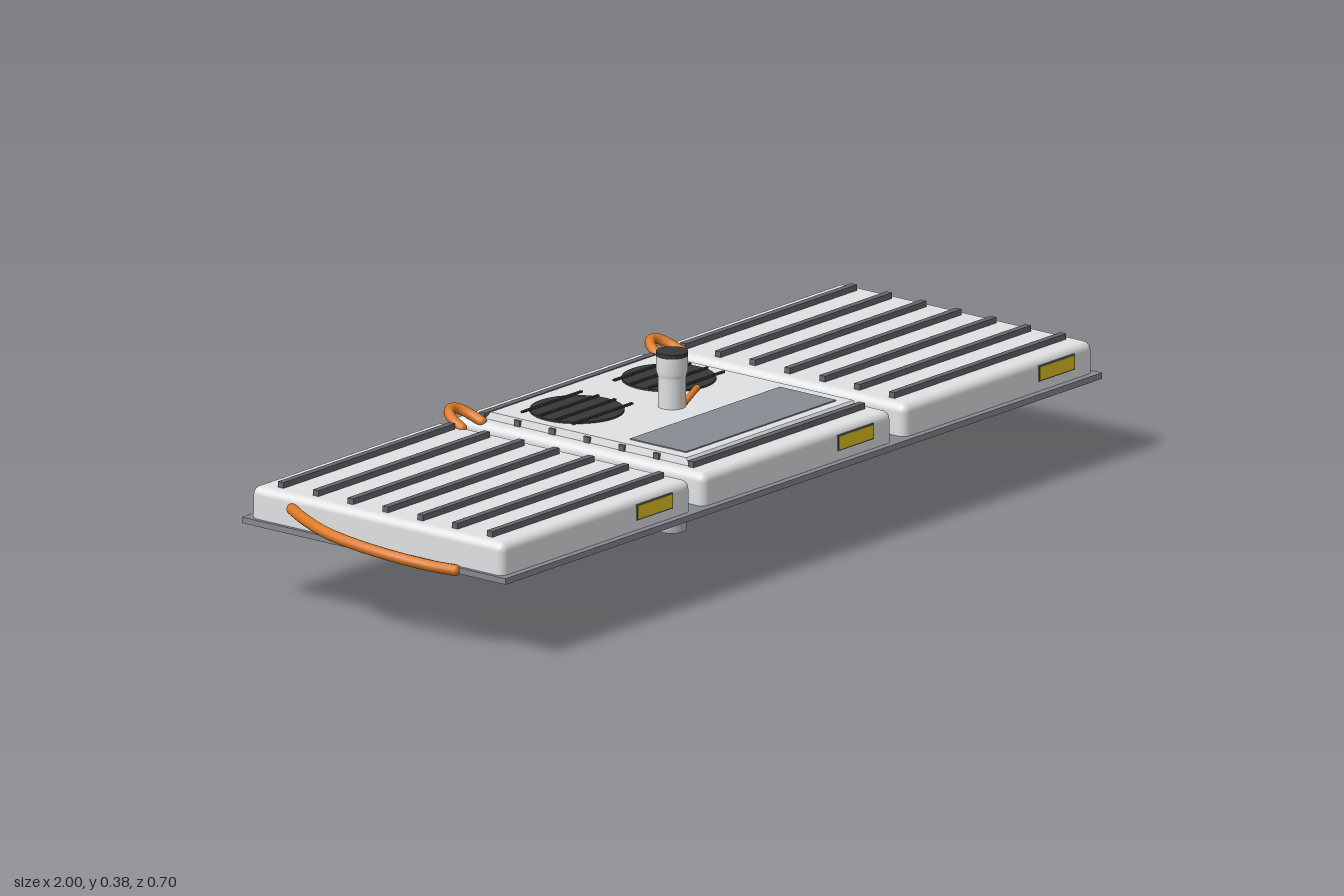
import * as THREE from 'three';
import { RoundedBoxGeometry } from 'three/addons/geometries/RoundedBoxGeometry.js';

const mat = (name, color) => Object.assign(new THREE.MeshStandardMaterial({ color }), { name });

export function createModel() {
  const model = new THREE.Group();
  model.name = 'threePanelUnit';
  const shell = mat('light grey shell', 0xdfe1e2);
  const pipeGrey = mat('pipe grey', 0xb0b3b6);
  const plateGrey = mat('base grey', 0x86898f);
  const slatGrey = mat('slat grey', 0x64676c);
  const glass = mat('grey window', 0x878b93);
  const dark = mat('dark grey', 0x363738);
  const orange = mat('orange', 0xdb7820);
  const yellow = mat('yellow', 0xe2c220);

  const add = (name, geo, material, x = 0, y = 0, z = 0, parent = model) => {
    const m = new THREE.Mesh(geo, material);
    m.name = name;
    m.position.set(x, y, z);
    parent.add(m);
    return m;
  };
  const box = (name, w, h, d, material, x, y, z, parent) =>
    add(name, new THREE.BoxGeometry(w, h, d), material, x, y, z, parent);
  const lathe = (points, n = 32) =>
    new THREE.LatheGeometry(points.map(([r, y]) => new THREE.Vector2(r, y)), n);
  // Bent tube with closed ends
  const tube = (name, points, r, material) => {
    const pts = points.map((p) => new THREE.Vector3(...p));
    const curve = new THREE.CatmullRomCurve3(pts);
    const g = new THREE.Group();
    g.name = name;
    add(name + 'Bar', new THREE.TubeGeometry(curve, 40, r, 12), material, 0, 0, 0, g);
    for (const p of [pts[0], pts[pts.length - 1]])
      add(name + 'End', new THREE.SphereGeometry(r, 12, 8), material, p.x, p.y, p.z, g);
    model.add(g);
  };

  const cx = 0.0325, pitch = 0.652;

  // Base plate
  box('basePlate', 1.935, 0.013, 0.704, plateGrey, cx, 0.1755, 0);

  // Shell shape: rounded on top, cut off flat below
  const shellShape = new RoundedBoxGeometry(0.614, 0.14, 0.674, 4, 0.018);
  const sp = shellShape.attributes.position;
  for (let i = 0; i < sp.count; i++) sp.setY(i, Math.max(sp.getY(i), -0.004));

  // Three shells, each with seven slats and a front label
  for (const i of [-1, 0, 1]) {
    const panel = new THREE.Group();
    panel.name = ['rightPanel', 'middlePanel', 'leftPanel'][i + 1];
    panel.position.x = cx + i * pitch;
    model.add(panel);
    add('shell', shellShape, shell, 0, 0.18, 0, panel);
    for (let k = -3; k <= 3; k++)
      box('slat', 0.556, 0.014, 0.015, slatGrey, 0, 0.2555, k * 0.093, panel);
    box('labelFrame', 0.116, 0.034, 0.004, slatGrey, 0.185, 0.22, 0.337, panel);
    box('label', 0.11, 0.028, 0.003, yellow, 0.185, 0.22, 0.3385, panel);
  }

  // Raised lid of the middle panel, with sloping edges
  const lid = new THREE.BoxGeometry(0.55, 0.018, 0.55);
  const lp = lid.attributes.position;
  for (let i = 0; i < lp.count; i++)
    if (lp.getY(i) > 0) {
      lp.setX(i, lp.getX(i) * 0.985);
      lp.setZ(i, lp.getZ(i) * 0.95);
    }
  lid.computeVertexNormals();
  add('raisedLid', lid, shell, cx, 0.2565, 0);
  box('frontWindow', 0.486, 0.004, 0.15, glass, cx, 0.266, 0.163);

  // Round fan grilles
  for (const s of [-1, 1]) {
    const grille = new THREE.Group();
    grille.name = 'fanGrille';
    grille.position.set(cx + s * 0.149, 0.2665, -0.131);
    model.add(grille);
    add('fanDisc', new THREE.CylinderGeometry(0.098, 0.098, 0.006, 40), dark, 0, 0, 0, grille);
    for (const k of [-1.5, -0.5, 0.5, 1.5])
      box('fanBar', 0.194, 0.004, 0.006, dark, 0, 0.005, k * 0.045, grille);
  }

  // Upper pipe with flared collar and dark mouth
  add('upperPipe', lathe([[0.029, 0.255], [0.029, 0.328], [0.03, 0.333], [0.033, 0.343], [0.033, 0.376]]), shell, cx);
  add('pipeMouth', new THREE.CylinderGeometry(0.0335, 0.0335, 0.009, 32), dark, cx, 0.3795, 0);
  tube('valveLever', [[0.055, 0.272, 0.016], [0.07, 0.28, 0.016], [0.088, 0.287, 0.013], [0.107, 0.289, 0.006]], 0.007, orange);

  // Lower pipe with ring
  add('lowerPipe', new THREE.CylinderGeometry(0.03, 0.03, 0.15, 32), pipeGrey, cx, 0.075, 0);
  add('pipeRing', new THREE.TorusGeometry(0.031, 0.0045, 8, 32).rotateX(Math.PI / 2), pipeGrey, cx, 0.075, 0);

  // Motor barrel lying under the plate
  const barrel = new THREE.Group();
  barrel.name = 'motorBarrel';
  barrel.position.set(cx, 0.168, 0);
  barrel.rotation.z = -Math.PI / 2;
  model.add(barrel);
  add('barrelCore', lathe([[0, -0.23], [0.036, -0.228], [0.05, -0.215], [0.058, -0.185], [0.058, 0.185],
    [0.05, 0.215], [0.036, 0.228], [0, 0.23]]), dark, 0, 0, 0, barrel);
  add('barrelSleeve', lathe([[0.056, -0.15], [0.066, -0.15], [0.068, -0.12], [0.068, 0.12], [0.066, 0.15], [0.056, 0.15]]),
    plateGrey, 0, 0, 0, barrel);
  for (const y of [-0.12, -0.07, 0.07, 0.12])
    add('barrelBand', lathe([[0.06, -0.01], [0.076, -0.01], [0.076, 0.01], [0.06, 0.01]]), pipeGrey, 0, y, 0, barrel);
  for (let k = 0; k < 16; k++) {
    const a = (k + 0.5) * Math.PI / 8;
    box('barrelRib', 0.006, 0.24, 0.006, slatGrey, Math.cos(a) * 0.07, 0, Math.sin(a) * 0.07, barrel).rotation.y = -a;
  }
  for (const x of [-0.12, 0.12])
    for (const z of [-0.046, 0.046]) box('barrelLug', 0.02, 0.012, 0.014, slatGrey, cx + x, 0.106, z);

  // Hooks across the two gaps
  for (const s of [-1, 1]) {
    const x = cx + s * pitch / 2;
    tube('hook', [[x - 0.032, 0.25, -0.266], [x - 0.027, 0.262, -0.295], [x - 0.015, 0.272, -0.315],
      [x, 0.275, -0.321], [x + 0.015, 0.272, -0.315], [x + 0.027, 0.262, -0.295], [x + 0.032, 0.25, -0.266]], 0.011, orange);
  }

  // Carrying handle on the right end
  tube('carryHandle', [[-0.93, 0.222, -0.222], [-0.958, 0.217, -0.165], [-0.98, 0.208, -0.09], [-0.988, 0.2, 0],
    [-0.98, 0.191, 0.09], [-0.958, 0.181, 0.165], [-0.935, 0.175, 0.217]], 0.012, orange);

  return model;
}
